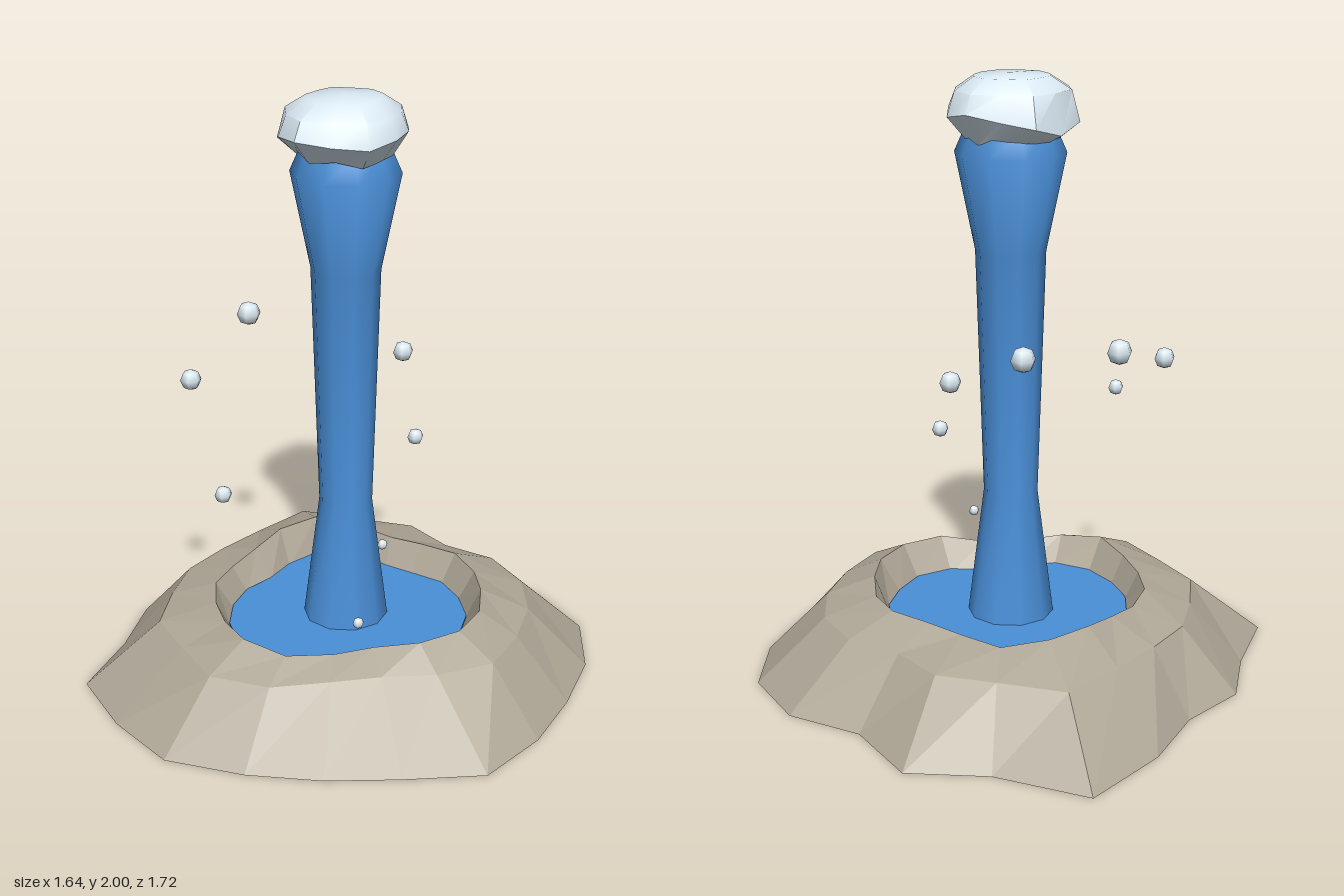
import * as THREE from 'three';
import { toCreasedNormals } from 'three/addons/utils/BufferGeometryUtils.js';

const CX = -0.013, CZ = -0.02;

// Skin a stack of closed rings; each ring is { r, y }, either a number or one value per angle.
function loft(rings, n) {
  const pos = [], idx = [];
  const at = (v, j) => (Array.isArray(v) ? v[j] : v);
  for (const { r, y } of rings) {
    for (let j = 0; j < n; j++) {
      const a = (j / n) * Math.PI * 2;
      pos.push(Math.cos(a) * at(r, j), at(y, j), Math.sin(a) * at(r, j));
    }
  }
  for (let i = 0; i < rings.length - 1; i++) {
    for (let j = 0; j < n; j++) {
      const k = (j + 1) % n;
      const a = i * n + j, b = i * n + k, c = a + n, d = b + n;
      if (rings[i].r !== 0) idx.push(a, c, b);
      if (rings[i + 1].r !== 0) idx.push(b, c, d);
    }
  }
  const g = new THREE.BufferGeometry();
  g.setAttribute('position', new THREE.Float32BufferAttribute(pos, 3));
  g.setIndex(idx);
  g.computeVertexNormals();
  return g;
}

export function createModel() {
  const group = new THREE.Group();
  const rock = new THREE.MeshStandardMaterial({ color: 0xb0a898, flatShading: true });
  const blue = new THREE.MeshStandardMaterial({ color: 0x4a90d9 });
  const foam = new THREE.MeshStandardMaterial({ color: 0xdcebf5 });

  const add = (name, geometry, material, x = CX, y = 0, z = CZ) => {
    const mesh = new THREE.Mesh(geometry, material);
    mesh.name = name;
    mesh.position.set(x, y, z);
    group.add(mesh);
    return mesh;
  };

  // Radii around the mound, every 18 degrees from +x towards +z
  const foot = [0.83, 0.87, 0.79, 0.78, 0.81, 0.88, 0.88, 0.91, 0.79, 0.80,
    0.745, 0.85, 0.995, 0.84, 0.88, 0.745, 0.84, 0.87, 0.84, 0.81];
  const shoulder = [0.64, 0.575, 0.52, 0.54, 0.62, 0.667, 0.63, 0.65, 0.61, 0.61,
    0.60, 0.63, 0.726, 0.64, 0.632, 0.56, 0.62, 0.64, 0.632, 0.625];
  const crest = [0.498, 0.472, 0.41, 0.43, 0.495, 0.507, 0.47, 0.455, 0.455, 0.437,
    0.43, 0.466, 0.51, 0.49, 0.425, 0.42, 0.457, 0.464, 0.467, 0.49];
  const crestY = [0.28, 0.28, 0.26, 0.25, 0.26, 0.28, 0.265, 0.26, 0.26, 0.255,
    0.27, 0.29, 0.29, 0.26, 0.26, 0.27, 0.275, 0.27, 0.28, 0.28];
  const pool = [0.432, 0.407, 0.345, 0.366, 0.43, 0.438, 0.42, 0.41, 0.396, 0.383,
    0.36, 0.403, 0.452, 0.435, 0.367, 0.365, 0.40, 0.408, 0.42, 0.42];

  // Rocky mound: underside, two outer slopes and the crater wall
  add('rockMound', loft([
    { r: pool, y: 0 },
    { r: foot, y: 0 },
    { r: shoulder, y: 0.212 },
    { r: crest, y: crestY },
    { r: pool.map((r) => r * 0.99), y: 0.16 },
  ], 20), rock);

  // Pool filling the crater
  add('pool', toCreasedNormals(loft([
    { r: 0, y: 0 },
    { r: pool, y: 0 },
    { r: pool, y: 0.175 },
    { r: 0, y: 0.175 },
  ], 20), 0.6), blue);

  // Water jet, pinched low down and flaring at the top
  add('waterJet', toCreasedNormals(loft([
    { r: 0.145, y: 0.17 },
    { r: 0.09, y: 0.61 },
    { r: 0.115, y: 1.43 },
    { r: 0.18, y: 1.75 },
    { r: 0.145, y: 1.83 },
    { r: 0, y: 1.85 },
  ], 10), 0.9), blue);

  // Lumpy foam cap, drooping on its right side
  const capR = [0.208, 0.225, 0.222, 0.24, 0.222, 0.222, 0.205, 0.228, 0.2, 0.218, 0.212, 0.2];
  const capY = [1.885, 1.87, 1.88, 1.89, 1.88, 1.85, 1.82, 1.85, 1.87, 1.89, 1.87, 1.89];
  const lowY = [1.81, 1.8, 1.82, 1.81, 1.83, 1.8, 1.79, 1.8, 1.8, 1.79, 1.8, 1.8];
  add('foamCap', toCreasedNormals(loft([
    { r: 0, y: 1.82 },
    { r: capR.map((r) => r * 0.72), y: lowY },
    { r: capR, y: capY },
    { r: capR.map((r) => r * 0.88), y: 1.95 },
    { r: capR.map((r) => r * 0.58), y: 1.992 },
    { r: 0, y: 2 },
  ], 12), 0.75), foam);

  // Spray droplets: x, y, z, radius
  const drops = [
    [-0.455, 1.17, -0.02, 0.042], [-0.28, 1.17, -0.28, 0.042],
    [-0.375, 1.055, 0.34, 0.036], [-0.015, 1.055, -0.32, 0.036],
    [-0.015, 0.83, 0.56, 0.028], [0.153, 0.83, -0.185, 0.028],
    [0.44, 0.49, 0.44, 0.018], [0.155, 0.49, -0.015, 0.018],
  ];
  drops.forEach(([x, y, z, r], i) => {
    add(`droplet${i + 1}`, new THREE.SphereGeometry(r, 6, 4), foam, x, y, z);
  });

  return group;
}
